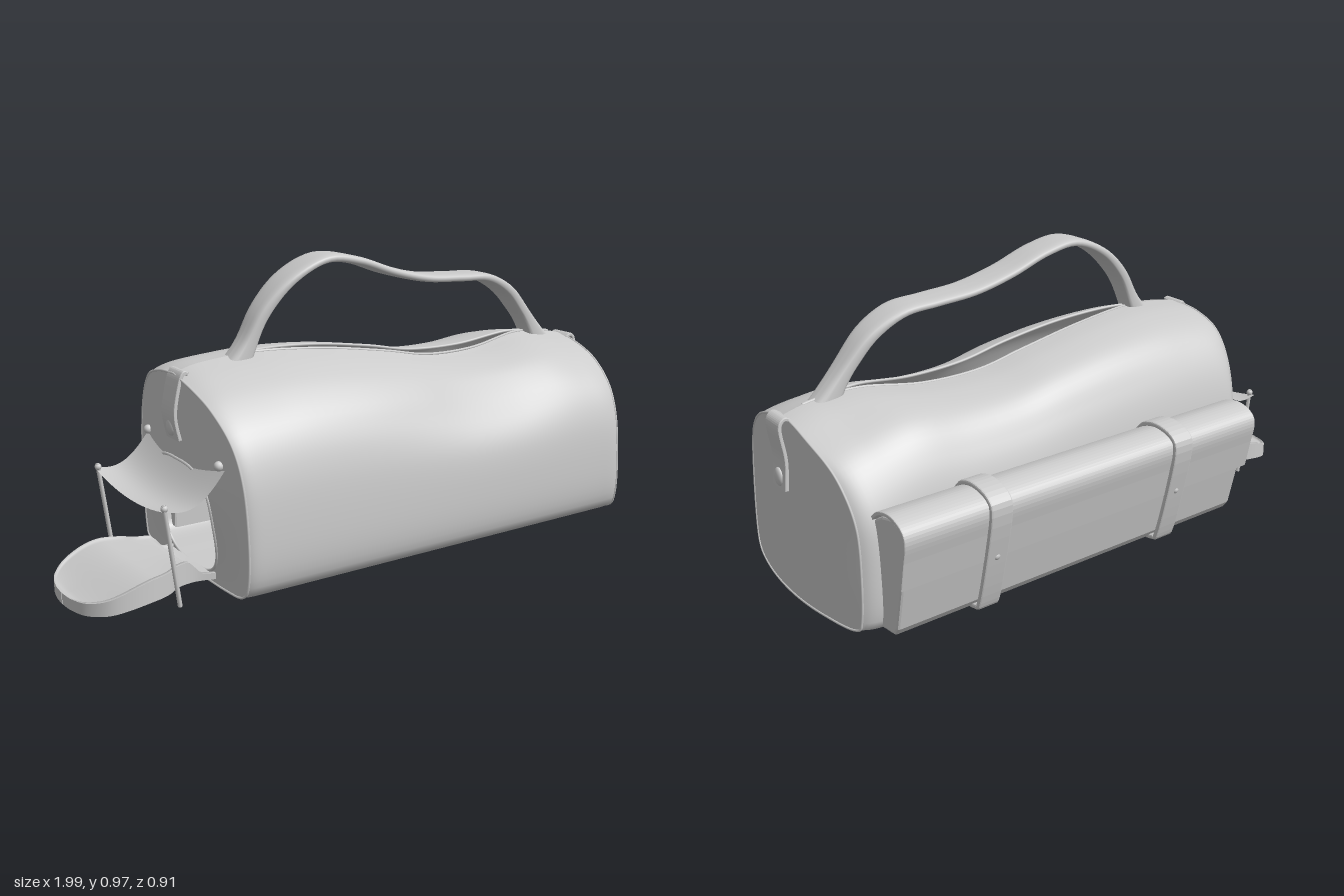
import * as THREE from 'three';

const V2 = (x, y) => new THREE.Vector2(x, y);
const V3 = (x, y, z) => new THREE.Vector3(x, y, z);
const smooth = THREE.MathUtils.smoothstep;
const MID = 0.09; // centre plane of the bag in z

// Skin a list of equally long rings (top -> front -> bottom -> back)
function loft(rings) {
  const n = rings[0].length, pos = [], idx = [];
  rings.forEach(r => r.forEach(p => pos.push(p.x, p.y, p.z)));
  for (let i = 0; i < rings.length - 1; i++) {
    for (let j = 0; j < n - 1; j++) {
      const a = i * n + j, b = a + n;
      idx.push(a, a + 1, b, a + 1, b + 1, b);
    }
  }
  const g = new THREE.BufferGeometry();
  g.setAttribute('position', new THREE.Float32BufferAttribute(pos, 3));
  g.setIndex(idx);
  g.computeVertexNormals();
  return g;
}

// Shape of a strip of thickness t laid along a smooth path
function stripShape(pts, t) {
  const c = new THREE.SplineCurve(pts.map(p => V2(...p)));
  const a = [], b = [];
  for (let i = 0; i <= 32; i++) {
    const p = c.getPoint(i / 32), d = c.getTangent(i / 32);
    a.push(V2(p.x - d.y * t / 2, p.y + d.x * t / 2));
    b.unshift(V2(p.x + d.y * t / 2, p.y - d.x * t / 2));
  }
  return new THREE.Shape([...a, ...b]);
}

const bevel = s => ({ bevelSize: s, bevelThickness: s, bevelOffset: -s, bevelSegments: 2, curveSegments: 20 });

// Extrude a (-z, y) shape along x from x0 to x1
function alongX(shape, x0, x1, s = 0.003) {
  const g = new THREE.ExtrudeGeometry(shape, { depth: x1 - x0 - 2 * s, ...bevel(s) });
  return g.rotateY(Math.PI / 2).translate(x0 + s, 0, 0);
}

// Height of the bag's ridge along x
const ridge = new THREE.SplineCurve([
  V2(-0.565, 0.648), V2(-0.49, 0.672), V2(-0.32, 0.685), V2(-0.1, 0.672), V2(0.12, 0.64),
  V2(0.3, 0.607), V2(0.5, 0.605), V2(0.7, 0.632), V2(0.82, 0.622), V2(0.9, 0.6)]);

const section = new THREE.SplineCurve([
  [0.09, 0.685], [0.2, 0.653], [0.3, 0.602], [0.39, 0.51], [0.437, 0.38], [0.452, 0.2], [0.442, 0.08],
  [0.405, 0.03], [0.3, 0.016], [0.09, 0.012], [-0.1, 0.014], [-0.245, 0.02], [-0.275, 0.06], [-0.28, 0.2],
  [-0.265, 0.4], [-0.22, 0.54], [-0.14, 0.635], [-0.02, 0.675], [0.09, 0.685]].map(p => V2(...p))).getSpacedPoints(96);

// Ends swell outwards towards the middle; the far end also leans out at the bottom
function swell(x, y, z) {
  const k = Math.max(0, 1 - ((z - MID) / 0.37) ** 2);
  const l = smooth(-x, 0.35, 0.56), r = smooth(x, 0.7, 0.9);
  return x - l * 0.05 * k * smooth(y, 0, 0.35) + r * (0.055 * k + 0.012 * (1 - smooth(y, 0, 0.5)));
}

function bodyRing(t) {
  const { x, y: h } = ridge.getPoint(t);
  const end = Math.max(0, 1 - Math.min(t, 1 - t) / 0.08);
  const m = (x - 0.2) / 0.6;
  const slit = Math.abs(m) < 1 ? 0.05 * (1 - m * m) : 0;
  return section.map((p, j) => {
    const u = j / (section.length - 1), edge = Math.min(u, 1 - u);
    let y = p.y > 0.25 ? 0.25 + (p.y - 0.25) * (h - 0.25) / 0.435 : p.y;
    let z = MID + (p.x - MID) * (1 - (p.x > MID ? 0.025 : 0.07) * end * end);
    // the back shoulder falls away near the far end
    y -= 0.04 * smooth(x, 0.6, 0.9) * smooth(-z, -0.09, 0.14) * smooth(y, 0.25, 0.5);
    if (edge < 0.15) z += (u < 0.5 ? 1 : -1) * slit * (1 - edge / 0.15);
    if (p.x > MID) z -= 0.035 * Math.exp(-(((x - 0.4) / 0.3) ** 2) - ((y - 0.5) / 0.1) ** 2);
    return V3(swell(x, y, z), y, z);
  });
}

// Rings from the end seam inwards to an arched door, or to a point
function endRings(t, door) {
  const x = ridge.getPoint(t).x, rings = [], cy = door ? 0.21 : 0.3, seam = bodyRing(t);
  for (let i = 0; i <= 10; i++) {
    rings.push(seam.map(p => {
      const dz = p.z - MID, dy = p.y - cy;
      const q = door ? (Math.abs(dz / 0.18) ** 3 + Math.abs(dy / 0.175) ** 3) ** (-1 / 3) : 0;
      const s = THREE.MathUtils.lerp(1, q, i / 10);
      const y = cy + dy * s, z = MID + dz * s;
      return V3(swell(x, y, z), y, z);
    }));
  }
  return rings;
}

export function createModel() {
  const model = new THREE.Group();
  const mat = new THREE.MeshStandardMaterial({ color: 0xcccccc, side: THREE.DoubleSide });
  const add = (name, geo, x = 0, y = 0, z = 0) => {
    const m = new THREE.Mesh(geo, mat);
    m.name = name;
    m.position.set(x, y, z);
    model.add(m);
  };
  const tube = (pts, r, closed = false) =>
    new THREE.TubeGeometry(new THREE.CatmullRomCurve3(pts, closed), pts.length * 2, r, 6, closed);

  // Body with an open slit along the ridge
  const rings = Array.from({ length: 61 }, (_, i) => bodyRing(i / 60));
  add('bagBody', loft(rings));
  add('closedEnd', loft(endRings(1, false)));
  const doorRings = endRings(0, true);
  add('doorEnd', loft([...doorRings].reverse()));
  add('doorTrim', tube(doorRings[10].slice(0, -1), 0.005, true));
  for (const r of [rings[0], rings[60]]) add('endPiping', tube(r.slice(0, -1), 0.004, true));
  for (const j of [0, 96]) add('openingLip', tube(rings.slice(10, 56).map(r => r[j]), 0.005));

  // Carrying handle: a flat strap whose legs thicken towards the bag
  const path = new THREE.CatmullRomCurve3([
    [-0.42, 0.625], [-0.375, 0.705], [-0.318, 0.81], [-0.225, 0.903], [-0.1, 0.957], [0.02, 0.942], [0.16, 0.895],
    [0.3, 0.863], [0.44, 0.853], [0.56, 0.843], [0.66, 0.792], [0.73, 0.72], [0.785, 0.65], [0.83, 0.58]]
    .map(([x, y]) => V3(x, y, MID + 0.003)));
  const handle = [];
  for (let i = 0; i <= 70; i++) {
    const t = i / 70, p = path.getPointAt(t), d = path.getTangentAt(t), e = Math.min(t, 1 - t);
    const flare = Math.max(0, 1 - e / 0.11) ** 2;
    const w = 0.04 + 0.022 * smooth(e, 0.05, 0.28);
    const h = 0.014 + 0.008 * (1 - smooth(e, 0.1, 0.3)) + 0.028 * flare;
    handle.push(Array.from({ length: 25 }, (_, j) => {
      const a = j / 24 * Math.PI * 2, c = Math.cos(a), s = Math.sin(a);
      const u = h * Math.sign(c) * Math.abs(c) ** 0.6, v = w * Math.sign(s) * Math.abs(s) ** 0.6;
      return V3(p.x - d.y * u, p.y + d.x * u, p.z + v);
    }));
  }
  add('handle', loft(handle));

  // Back pocket with a flap and two straps
  const pocket = new THREE.Shape([[0.25, 0.025], [0.335, 0.035], [0.354, 0.06], [0.425, 0.36], [0.41, 0.395],
    [0.36, 0.415], [0.3, 0.4], [0.25, 0.37]].map(p => V2(...p)));
  add('backPocket', alongX(pocket, -0.465, 0.865, 0.008));
  add('pocketFlap', alongX(stripShape([[0.265, 0.385], [0.3, 0.412], [0.36, 0.426], [0.415, 0.41], [0.435, 0.375],
    [0.42, 0.3], [0.402, 0.215]], 0.012), -0.48, 0.878));
  for (const x of [-0.143, 0.563]) {
    add('pocketStrap', alongX(stripShape([[0.265, 0.39], [0.3, 0.425], [0.36, 0.438], [0.428, 0.42], [0.446, 0.37],
      [0.41, 0.2], [0.372, 0.06], [0.35, 0.037], [0.27, 0.028]], 0.016), x - 0.038, x + 0.038, 0.005));
    add('strapStud', new THREE.SphereGeometry(0.014, 14, 10), x, 0.225, -0.414);
  }

  // Folded tab and stud at each end
  const tab = (name, pts, stud) => {
    add(name, new THREE.ExtrudeGeometry(stripShape(pts, 0.012), { depth: 0.079, ...bevel(0.003) }), 0, 0, 0.053);
    add(name + 'Stud', new THREE.SphereGeometry(0.025, 16, 12).scale(0.45, 1.2, 1), ...stud, 0.093);
  };
  tab('closedEndTab', [[0.945, 0.59], [0.968, 0.6], [0.984, 0.57], [0.972, 0.47], [0.978, 0.375]], [0.98, 0.41]);
  tab('doorEndTab', [[-0.59, 0.65], [-0.605, 0.655], [-0.62, 0.62], [-0.636, 0.53], [-0.622, 0.45]], [-0.632, 0.49]);

  // Sagging awning above the door
  const awning = new THREE.PlaneGeometry(1, 1, 16, 16), ap = awning.attributes.position;
  for (let i = 0; i < ap.count; i++) {
    const u = 0.5 - ap.getX(i), v = ap.getY(i) * 2; // u runs outwards, v across
    const y = 0.43 - 0.11 * u - 0.05 * Math.sin(u * Math.PI) - 0.03 * u * (1 - v * v);
    ap.setXYZ(i, -0.575 - 0.205 * u, y, 0.095 - 0.255 * v);
  }
  awning.computeVertexNormals();
  add('awning', awning);
  for (const z of [-0.14, 0.33]) {
    add('awningPole', tube([V3(-0.777, 0.335, z), V3(-0.756, 0.18, z), V3(-0.735, 0.02, z)], 0.007));
    add('poleKnob', new THREE.SphereGeometry(0.011, 12, 8), -0.775, 0.325, z);
    add('awningStud', new THREE.SphereGeometry(0.015, 12, 8), -0.6, 0.42, z);
  }

  // Lowered door lying as a paddle-shaped tray with a low rim, drooping at its tip
  const edge = new THREE.SplineCurve([[-1, 0.002], [-0.995, 0.06], [-0.975, 0.125], [-0.93, 0.178], [-0.87, 0.2],
    [-0.8, 0.2], [-0.74, 0.18], [-0.69, 0.145], [-0.63, 0.135], [-0.57, 0.15]].map(p => V2(...p)));
  const tray = edge.getPoints(54).map(({ x, y: w }) => {
    const f = smooth(x, -1.03, -0.78);
    const base = 0.002 + 0.033 * f;
    const top = base + 0.068 * (0.5 + 0.5 * f) * (1 - 0.7 * smooth(x, -0.66, -0.6));
    const inner = Math.max(w - 0.014, w * 0.5);
    const floor = top - 0.01 * smooth(w, 0.04, 0.13);
    return [[0, floor], [inner, floor], [inner, top], [w, top], [w, top], [w, base], [w, base], [-w, base], [-w, base],
      [-w, top], [-w, top], [-inner, top], [-inner, floor], [0, floor]].map(([z, y]) => V3(x, y, MID + z));
  });
  add('doorTray', loft(tray));

  return model;
}
